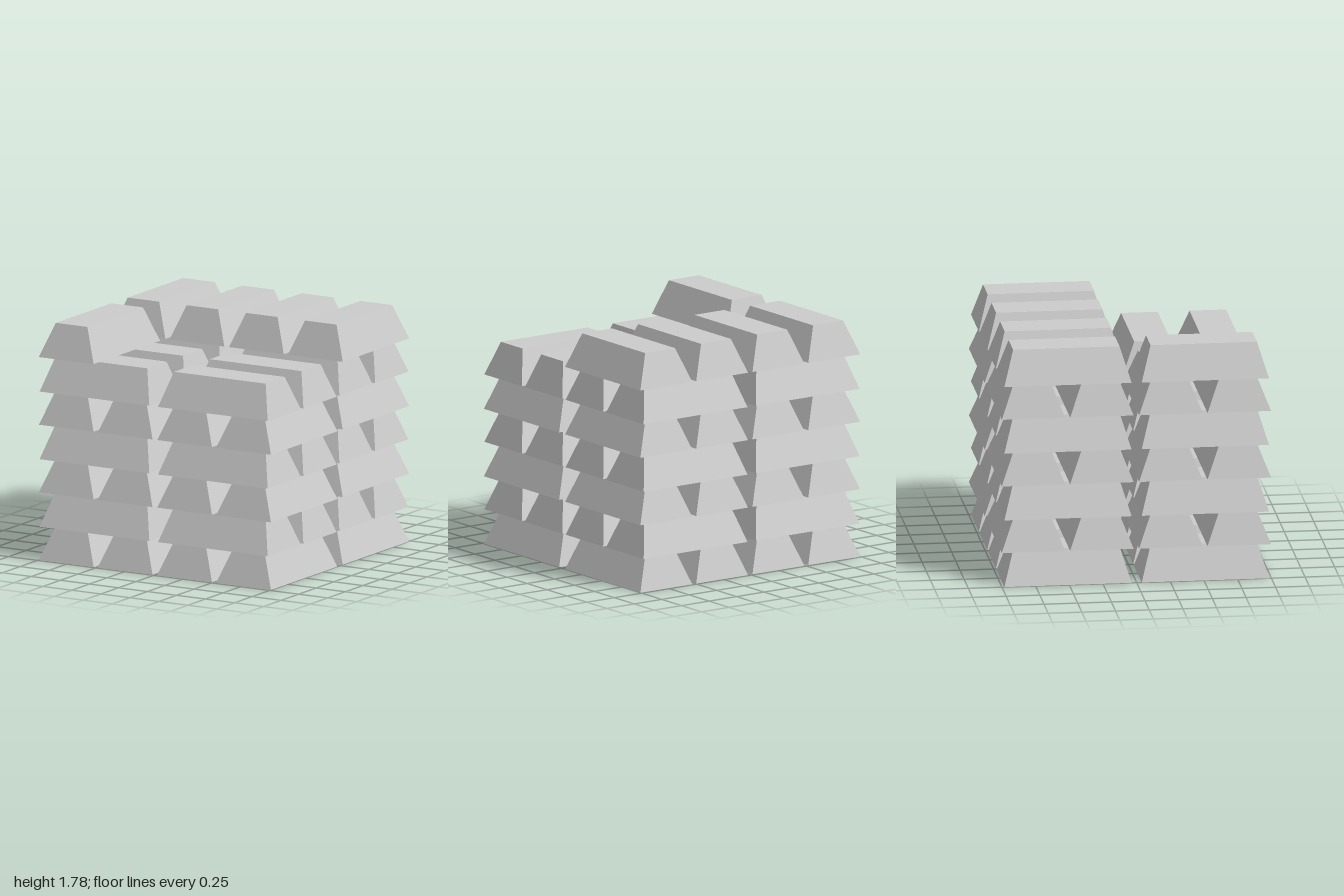
import * as THREE from 'three';

const H = 0.255;                            // bar height and layer pitch
const BASE_W = 0.472, TOP_W = 0.272;        // bar width at base and top
const BASE_L = 0.945, TOP_L = 0.79;         // bar length at base and top
const LAYERS = 7;

// Tapered bar lying along z, standing on y = 0
function barGeometry() {
  const geo = new THREE.BoxGeometry(BASE_W, H, BASE_L);
  geo.translate(0, H / 2, 0);
  const p = geo.attributes.position;
  for (let i = 0; i < p.count; i++) {
    if (p.getY(i) > H / 2) {
      p.setX(i, Math.sign(p.getX(i)) * TOP_W / 2);
      p.setZ(i, Math.sign(p.getZ(i)) * TOP_L / 2);
    }
  }
  geo.computeVertexNormals();
  return geo;
}

export function createModel() {
  const model = new THREE.Group();
  model.name = 'barStack';
  const geo = barGeometry();
  const mat = new THREE.MeshStandardMaterial({ color: 0xcccccc, flatShading: true });

  const across = [-0.764, -0.256, 0.256, 0.764]; // side-by-side positions
  const along = [-0.51, 0.51];                   // end-to-end positions

  for (let layer = 0; layer < LAYERS; layer++) {
    const group = new THREE.Group();
    group.name = `layer${layer + 1}`;
    group.position.y = layer * H;
    const turned = layer % 2 === 1;              // alternate layers run along x

    for (const l of along) {
      across.forEach((a, i) => {
        // Unfinished top layer: full back row, one bar in the front row
        if (layer === LAYERS - 1 && l > 0 && i > 0) return;
        const bar = new THREE.Mesh(geo, mat);
        bar.name = 'bar';
        if (turned) {
          bar.position.set(l, 0, a);
          bar.rotation.y = Math.PI / 2;
        } else {
          bar.position.set(a, 0, l);
        }
        group.add(bar);
      });
    }
    model.add(group);
  }
  return model;
}
